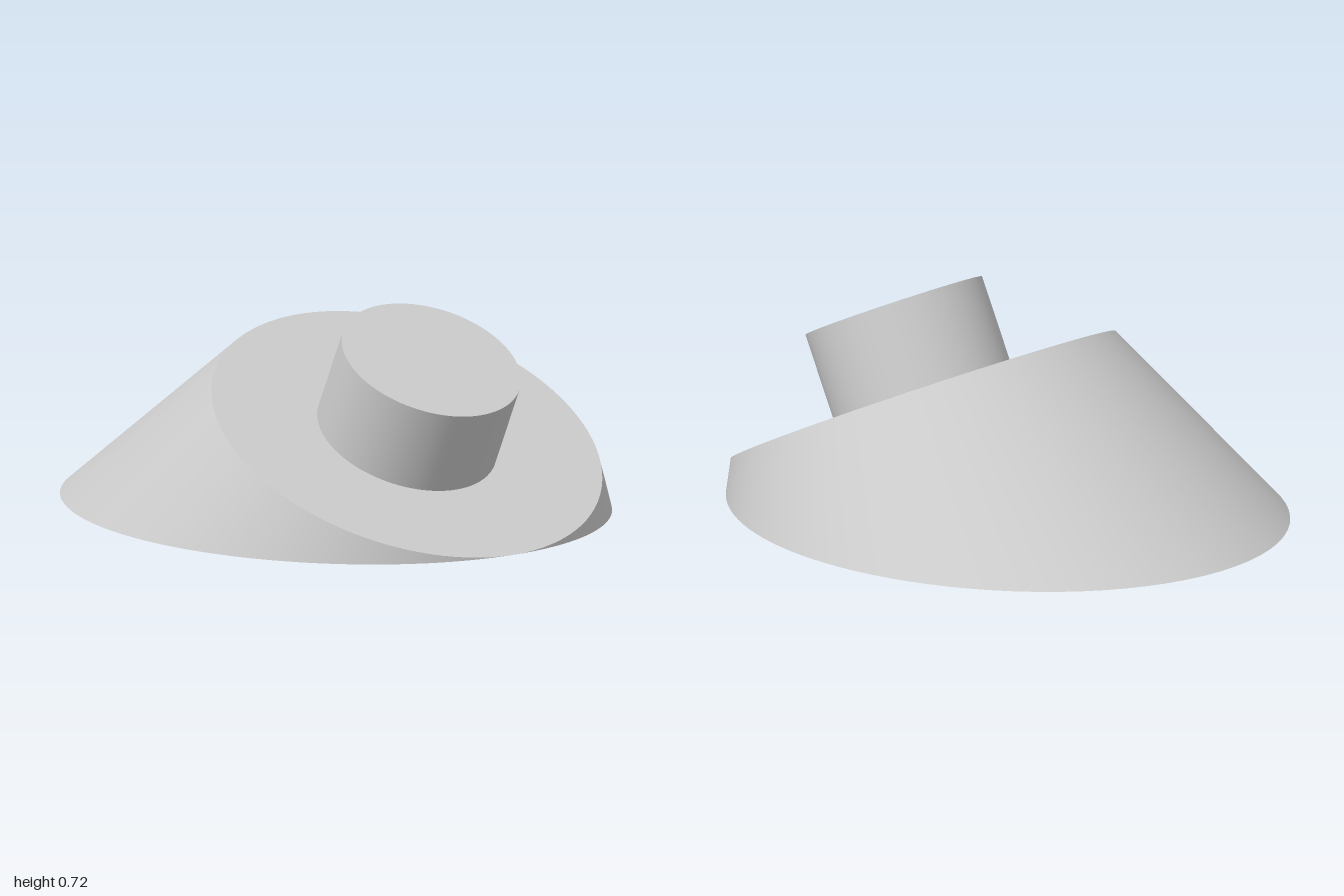
import * as THREE from 'three';

const SEG = 96;
const TILT = Math.atan(0.5);          // slope of the top face
const R_TOP = 0.671, R_POST = 0.308, POST_H = 0.31;
const R_HOLE = 0.31, HOLE_DEPTH = 0.33;
const CENTRE = new THREE.Vector3(0, 0.3, 0.4);

// Tilted cone wall: a circle on the slope, its rulings run down to y = 0
function coneWall() {
  const axis = new THREE.Vector3(0, Math.cos(TILT), Math.sin(TILT));
  const across = new THREE.Vector3(1, 0, 0);
  const uphill = new THREE.Vector3(0, Math.sin(TILT), -Math.cos(TILT));
  const pos = [], nor = [], idx = [];
  for (let i = 0; i <= SEG; i++) {
    const a = -Math.PI / 2 + (i / SEG) * Math.PI * 2;
    const out = across.clone().multiplyScalar(Math.cos(a)).addScaledVector(uphill, Math.sin(a));
    const top = CENTRE.clone().addScaledVector(out, R_TOP);
    const down = out.clone().multiplyScalar(0.5).sub(axis);
    const foot = top.clone().addScaledVector(down, Math.max(0, -top.y / down.y));
    const n = out.clone().addScaledVector(axis, 0.5).normalize();
    pos.push(foot.x, 0, foot.z, top.x, top.y, top.z);
    nor.push(n.x, n.y, n.z, n.x, n.y, n.z);
    if (i < SEG) {
      const b = i * 2;
      idx.push(b, b + 2, b + 3, b, b + 3, b + 1);
    }
  }
  const g = new THREE.BufferGeometry();
  g.setAttribute('position', new THREE.Float32BufferAttribute(pos, 3));
  g.setAttribute('normal', new THREE.Float32BufferAttribute(nor, 3));
  g.setIndex(idx);
  return g;
}

// Elliptical underside with the round hole opening
function underside() {
  const s = new THREE.Shape();
  s.absellipse(0, 0, 0.866, 1, 0, Math.PI * 2);
  const hole = new THREE.Path();
  hole.absarc(0, 0, R_HOLE, 0, Math.PI * 2, true);
  s.holes.push(hole);
  return new THREE.ShapeGeometry(s, SEG).rotateX(Math.PI / 2);
}

export function createModel() {
  const grey = new THREE.MeshStandardMaterial({ color: 0xcccccc });
  grey.name = 'light grey';
  const model = new THREE.Group();
  model.name = 'slantedConeWithPost';
  const add = (parent, name, geometry) => {
    const m = new THREE.Mesh(geometry, grey);
    m.name = name;
    parent.add(m);
    return m;
  };

  add(model, 'coneWall', coneWall());
  add(model, 'underside', underside());

  // Blind hole from below
  add(model, 'holeWall', new THREE.LatheGeometry(
    [new THREE.Vector2(R_HOLE, HOLE_DEPTH), new THREE.Vector2(R_HOLE, 0)], SEG));
  add(model, 'holeCeiling', new THREE.CircleGeometry(R_HOLE, SEG).rotateX(Math.PI / 2))
    .position.y = HOLE_DEPTH;

  // Sloping face and the post standing square to it
  const slope = new THREE.Group();
  slope.name = 'slope';
  slope.position.copy(CENTRE);
  slope.rotation.x = TILT;
  model.add(slope);
  add(slope, 'slopeFace', new THREE.RingGeometry(R_POST, R_TOP, SEG).rotateX(-Math.PI / 2));
  add(slope, 'postWall', new THREE.CylinderGeometry(R_POST, R_POST, POST_H, SEG, 1, true))
    .position.y = POST_H / 2;
  add(slope, 'postTop', new THREE.CircleGeometry(R_POST, SEG).rotateX(-Math.PI / 2))
    .position.y = POST_H;

  return model;
}
